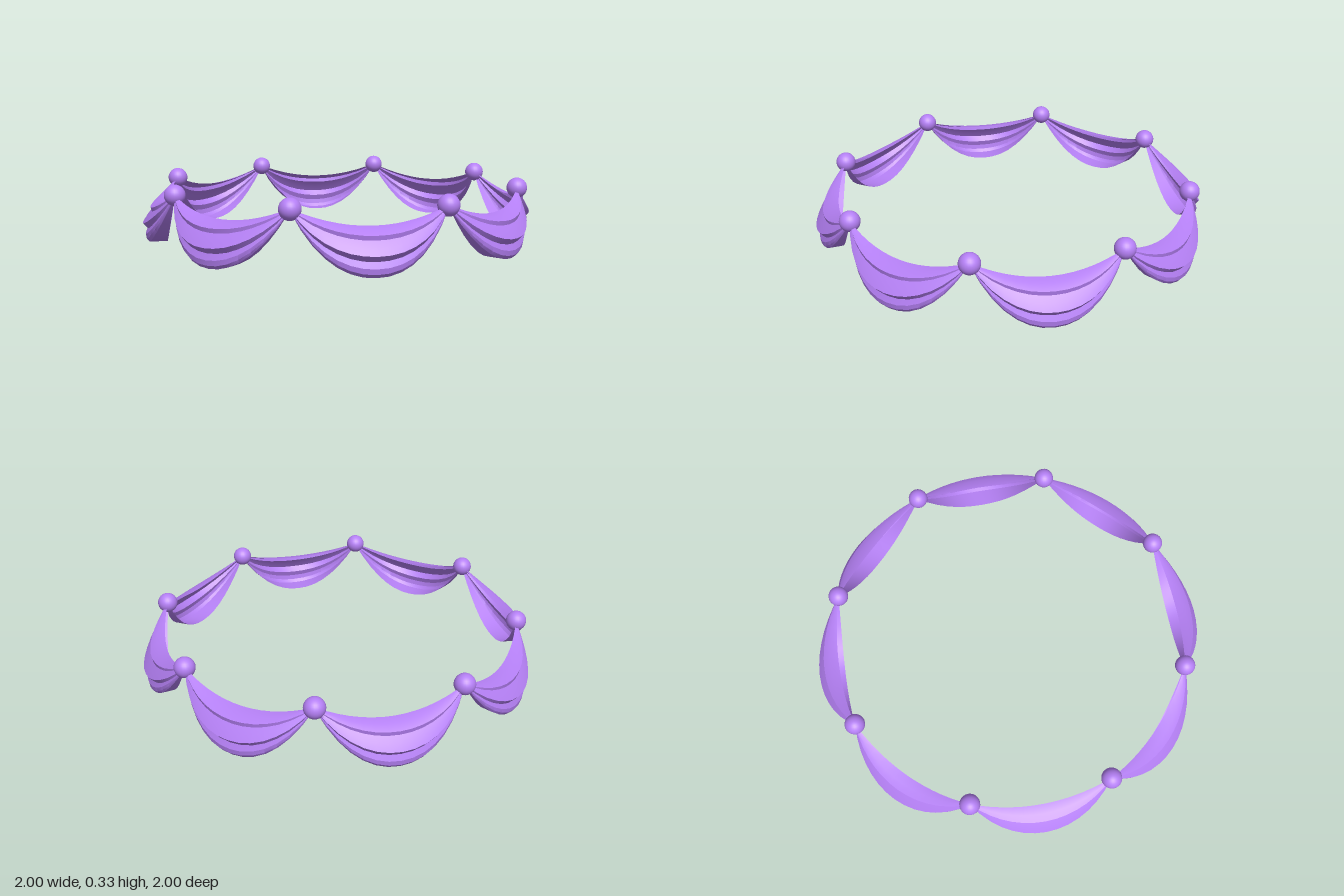
import * as THREE from 'three';
import { toCreasedNormals } from 'three/addons/utils/BufferGeometryUtils.js';

const COUNT = 8;
const STEP = (Math.PI * 2) / COUNT;
const KNOB_RADIUS = 0.898;

// Folded section at the middle of a swag: [outward bulge, drop from 0 (top hem) to 1 (bottom hem)]
const FOLDS = [
  [0, 0], [0.045, 0.04], [0.08, 0.14], [0.076, 0.24], [0.1, 0.38], [0.12, 0.53],
  [0.097, 0.66], [0.108, 0.8], [0.104, 0.92], [0.09, 1], [0, 1],
];

// One hanging swag, gathered at both ends and open towards the middle of the ring
function swagGeometry() {
  const segments = 14;
  const geometry = new THREE.PlaneGeometry(2, 1, segments, FOLDS.length - 1);
  const position = geometry.attributes.position;
  for (let i = 0; i < position.count; i++) {
    const t = position.getX(i);
    const [bulge, drop] = FOLDS[Math.floor(i / (segments + 1))];
    const fullness = 1 - t * t;
    const radius = 0.88 + 0.018 * t * t + bulge * fullness;
    const top = 0.207 + 0.073 * t * t;
    const bottom = 0.002 + 0.268 * Math.pow(Math.abs(t), 2.15);
    const angle = (t * STEP) / 2;
    position.setXYZ(
      i,
      radius * Math.sin(angle),
      THREE.MathUtils.lerp(top, bottom, drop),
      radius * Math.cos(angle)
    );
  }
  return toCreasedNormals(geometry, 0.5);
}

export function createModel() {
  const model = new THREE.Group();
  model.name = 'garland';
  const cloth = new THREE.MeshStandardMaterial({ color: 0xb580f5, side: THREE.DoubleSide });
  const knobMaterial = new THREE.MeshStandardMaterial({ color: 0xb580f5 });
  const swag = swagGeometry();
  const ball = new THREE.SphereGeometry(0.05, 24, 16);

  for (let i = 0; i < COUNT; i++) {
    // Draped cloth
    const drape = new THREE.Mesh(swag, cloth);
    drape.name = `swag${i + 1}`;
    drape.rotation.y = i * STEP;
    model.add(drape);

    // Round knob where two swags meet
    const angle = (i + 0.5) * STEP;
    const knob = new THREE.Mesh(ball, knobMaterial);
    knob.name = `knob${i + 1}`;
    knob.position.set(KNOB_RADIUS * Math.sin(angle), 0.278, KNOB_RADIUS * Math.cos(angle));
    model.add(knob);
  }
  return model;
}
